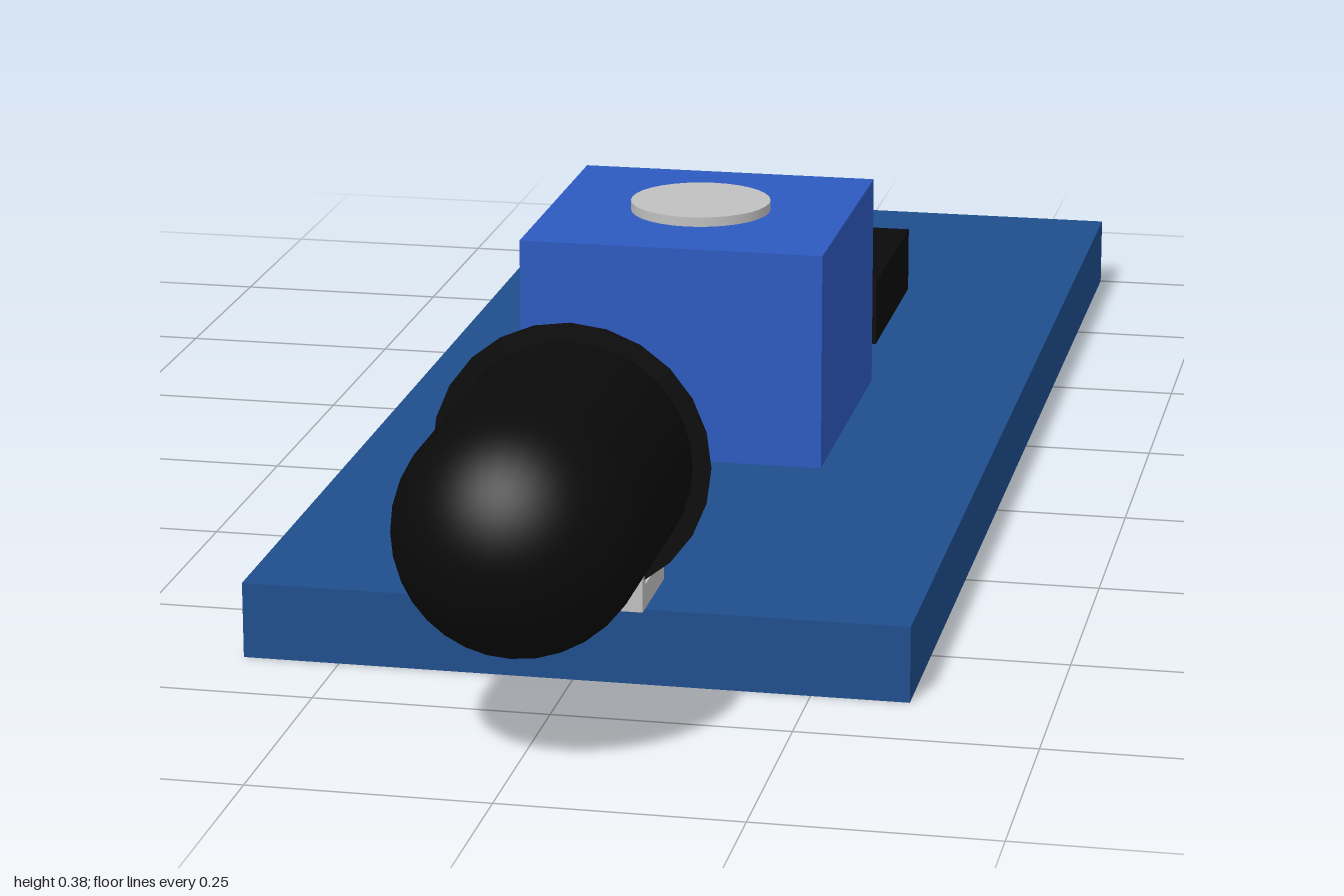
import * as THREE from 'three';

const material = (name, color) => {
  const m = new THREE.MeshStandardMaterial({ color });
  m.name = name;
  return m;
};

export function createModel() {
  const model = new THREE.Group();
  model.name = 'sensorModule';
  const boardBlue = material('board blue', 0x1f4e8c);
  const trimmerBlue = material('trimmer blue', 0x2c5abf);
  const black = material('black plastic', 0x0a0a0a);
  const silver = material('silver metal', 0xc0c0c0);

  const add = (name, geometry, mat, parent = model) => {
    const mesh = new THREE.Mesh(geometry, mat);
    mesh.name = name;
    parent.add(mesh);
    return mesh;
  };
  // Box given by its lower and upper corners
  const box = (name, mat, [x0, y0, z0], [x1, y1, z1], parent) => {
    const mesh = add(name, new THREE.BoxGeometry(x1 - x0, y1 - y0, z1 - z0), mat, parent);
    mesh.position.set((x0 + x1) / 2, (y0 + y1) / 2, (z0 + z1) / 2);
  };

  // Circuit board and the parts mounted on it
  box('board', boardBlue, [-0.353, 0, -1], [0.353, 0.082, 0.645]);
  box('chip', black, [-0.152, 0.082, -0.62], [0.152, 0.16, -0.366]);
  box('trimmerBody', trimmerBlue, [-0.172, 0.082, -0.213], [0.172, 0.328, 0.138]);
  add('trimmerScrew', new THREE.CylinderGeometry(0.08, 0.08, 0.011, 32), silver)
    .position.set(0, 0.3335, -0.038);

  // Domed diode, turned to point forwards
  const diode = new THREE.Group();
  diode.name = 'diode';
  diode.position.set(0, 0.238, 0.645);
  model.add(diode);
  const r = 0.127, dome = 0.355 - r;
  add('diodeBarrel', new THREE.CylinderGeometry(r, r, dome, 32, 1, true).translate(0, dome / 2, 0).rotateX(Math.PI / 2), black, diode);
  add('diodeDome', new THREE.SphereGeometry(r, 32, 16, 0, Math.PI * 2, 0, Math.PI / 2).translate(0, dome, 0).rotateX(Math.PI / 2), black, diode);

  // Thin flange behind the barrel
  add('diodeFlange', new THREE.CylinderGeometry(0.146, 0.146, 0.002, 24).rotateX(Math.PI / 2), black, diode);

  // Two bent legs
  for (const side of [1, -1]) {
    const leg = new THREE.Group();
    leg.name = side > 0 ? 'leftLeg' : 'rightLeg';
    model.add(leg);
    const x = side * 0.064, w = 0.0125;
    box('legFoot', silver, [x - w, 0.082, 0.547], [x + w, 0.108, 0.655], leg);
    box('legUpright', silver, [x - w, 0.108, 0.641], [x + w, 0.238, 0.655], leg);
  }
  return model;
}
